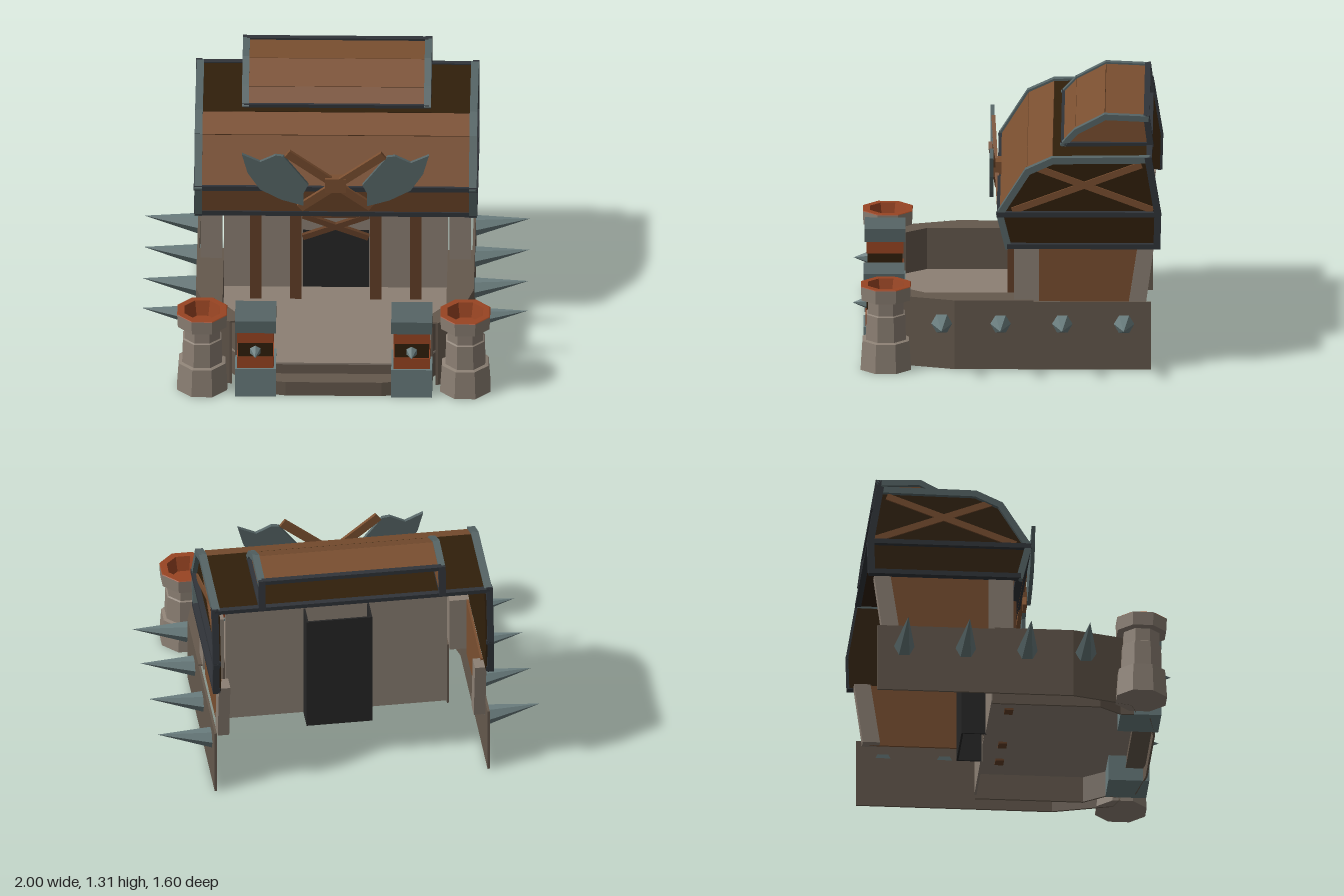
import * as THREE from 'three';

const mat = (name, color) => {
  const m = new THREE.MeshStandardMaterial({ color });
  m.name = name;
  return m;
};

export function createModel() {
  const stone = mat('pale stone', 0x8c8074);
  const baseStone = mat('dark stone', 0x65594d);
  const plank = mat('light wood', 0x7a4f30);
  const beamWood = mat('beam wood', 0x633f27);
  const darkWood = mat('dark wood', 0x301f0b);
  const iron = mat('dark iron', 0x303439);
  const steel = mat('steel', 0x566566);
  const paleSteel = mat('pale steel', 0x6a7d7e);
  const red = mat('red clay', 0x984422);
  const black = mat('black', 0x262626);

  const model = new THREE.Group();
  const UP = new THREE.Vector3(0, 1, 0);

  // Adds a mesh with hard-faceted normals
  const add = (name, geo, material, x = 0, y = 0, z = 0) => {
    const g = geo.index ? geo.toNonIndexed() : geo;
    g.computeVertexNormals();
    const m = new THREE.Mesh(g, material);
    m.name = name;
    m.position.set(x, y, z);
    model.add(m);
    return m;
  };
  // Box given by its minimum and maximum on each axis
  const box = (name, material, [x0, x1], [y0, y1], [z0, z1]) =>
    add(name, new THREE.BoxGeometry(Math.abs(x1 - x0), y1 - y0, z1 - z0), material,
      (x0 + x1) / 2, (y0 + y1) / 2, (z0 + z1) / 2);
  // Square bar running from p to q
  const beam = (name, material, p, q, w, d, extra = 0) => {
    const a = new THREE.Vector3(...p), b = new THREE.Vector3(...q);
    const dir = b.clone().sub(a);
    const m = add(name, new THREE.BoxGeometry(w, dir.length() + extra, d), material);
    m.position.copy(a).add(b).multiplyScalar(0.5);
    m.quaternion.setFromUnitVectors(UP, dir.normalize());
  };
  const extrude = (pts, depth) => new THREE.ExtrudeGeometry(
    new THREE.Shape(pts.map(([u, v]) => new THREE.Vector2(u, v))), { depth, bevelEnabled: false });
  // Plate with a (z, y) outline, centred on x
  const sidePlate = (name, material, pts, x, t) =>
    add(name, extrude(pts, t).rotateY(-Math.PI / 2).translate(t / 2, 0, 0), material, x);
  // Slab with an (x, z) outline, top at the given height
  const slab = (name, material, pts, top, h) =>
    add(name, extrude(pts, h).rotateX(Math.PI / 2), material, 0, top);
  const cone = (name, material, r, p, q, sides) => {
    const a = new THREE.Vector3(...p), dir = new THREE.Vector3(...q).sub(a);
    const h = dir.length();
    const m = add(name, new THREE.ConeGeometry(r, h, sides).translate(0, h / 2, 0), material, ...p);
    m.quaternion.setFromUnitVectors(UP, dir.normalize());
  };

  // Courtyard floor and entrance steps
  slab('courtyardFloor', stone, [[-0.59, -0.13], [0.59, -0.13], [0.59, 0.43], [0.5, 0.55],
    [0.3, 0.65], [-0.3, 0.65], [-0.5, 0.55], [-0.59, 0.43]], 0.15, 0.01);
  box('upperStep', baseStone, [-0.5, 0.5], [0.07, 0.14], [0.625, 0.64]);
  slab('lowerStepTread', baseStone, [[-0.47, 0.62], [0.47, 0.62], [0.47, 0.69], [0.25, 0.73],
    [-0.25, 0.73], [-0.47, 0.69]], 0.08, 0.01);
  slab('lowerStepRiser', baseStone, [[-0.47, 0.68], [-0.25, 0.72], [0.25, 0.72], [0.47, 0.68],
    [0.47, 0.69], [0.25, 0.73], [-0.25, 0.73], [-0.47, 0.69]], 0.07, 0.07);

  // Recessed front wall, dark doorway niche
  for (const s of [-1, 1]) box('frontWall', stone, [s * 0.17, s * 0.58], [0.02, 0.77], [-0.145, -0.133]);
  box('lintel', stone, [-0.17, 0.17], [0.49, 0.77], [-0.145, -0.133]);
  box('doorwayBack', black, [-0.172, 0.172], [0.02, 0.68], [-0.27, -0.26]);
  for (const s of [-1, 1]) {
    box('doorwaySide', black, [s * 0.162, s * 0.172], [0.02, 0.68], [-0.26, -0.14]);
    beam('doorBrace', beamWood, [-0.17, 0.58 - s * 0.065, -0.02], [0.17, 0.58 + s * 0.065, -0.02], 0.03, 0.025);
  }
  box('doorHeader', beamWood, [-0.17, 0.17], [0.635, 0.665], [-0.04, -0.01]);

  // Thin upright wall along an (x, z) path, mirrored by s
  const curtain = (name, s, path, t) => slab(name, baseStone,
    [...path, ...path.map(([x, z]) => [x + t, z]).reverse()].map(([x, z]) => [s * x, z]), 0.365, 0.365);

  for (const s of [-1, 1]) {
    // Outer rampart: outer skin, inner skin and walkway on top
    const outer = [[0.72, 0.27], [0.63, 0.58], [0.54, 0.61]];
    const inner = [[0.5, 0.6], [0.5, 0.53], [0.58, 0.42], [0.58, -0.14]];
    curtain('rampartOuter', s, [[0.72, -0.75], ...outer], -0.012);
    curtain('rampartInner', s, inner, 0.012);
    slab('rampartTop', baseStone, [[0.72, -0.14], ...outer, ...inner].map(([x, z]) => [s * x, z]), 0.372, 0.01);
    for (const z of [0.335, 0.03, -0.29, -0.61])
      cone('wallSpike', paleSteel, 0.055, [s * 0.712, 0.245, z], [s, 0.288, z], 6);

    // House side wall with corner piers
    box('frontPier', stone, [s * 0.59, s * 0.7], [0.36, 0.67], [-0.17, -0.04]);
    box('sideWall', plank, [s * 0.678, s * 0.69], [0.33, 0.67], [-0.7, -0.17]);
    sidePlate('rearPier', stone, [[-0.63, 0.33], [-0.72, 0.33], [-0.765, 0.66], [-0.68, 0.66]], s * 0.67, 0.06);

    // Porch posts
    for (const x of [0.207, 0.415])
      box('porchPost', beamWood, [s * x - 0.03, s * x + 0.03], [0.13, 0.67], [-0.05, -0.005]);

    // Gate pillar
    const px = s * 0.405;
    const block = (name, m, r, y0, y1) => box(name, m, [px - r, px + r], [y0, y1], [0.637 - r, 0.637 + r]);
    block('pillarFoot', paleSteel, 0.106, 0, 0.165);
    block('pillarLowerBand', red, 0.095, 0.165, 0.23);
    block('pillarCore', darkWood, 0.09, 0.23, 0.315);
    block('pillarUpperBand', red, 0.095, 0.315, 0.38);
    block('pillarCap', steel, 0.106, 0.38, 0.45);
    cone('pillarStud', paleSteel, 0.032, [px, 0.265, 0.725], [px, 0.265, 0.8], 6);

    // Octagonal corner tower with a fire bowl
    const lathe = (pts) => new THREE.LatheGeometry(
      pts.map(([r, y]) => new THREE.Vector2(r, y)), 8, Math.PI / 8);
    add('tower', lathe([[0, 0], [0.141, 0], [0.13, 0.155], [0.112, 0.16], [0.108, 0.295],
      [0.1, 0.3], [0.1, 0.37], [0.136, 0.375], [0.14, 0.447]]), stone, s * 0.682, 0, 0.625);
    add('fireBowl', lathe([[0.14, 0.447], [0.136, 0.45], [0.1, 0.45], [0.08, 0.37], [0, 0.37]]),
      red, s * 0.682, 0, 0.625);
  }

  // Roof panels: each entry is a profile segment in (z, y)
  const panels = (name, half, pts, mats) => mats.forEach((m, i) =>
    beam(name, m, [0, pts[i][1], pts[i][0]], [0, pts[i + 1][1], pts[i + 1][0]], 2 * half, 0.012));
  const main = [[-0.01, 0.66], [0.035, 0.84], [-0.11, 1.07], [-0.24, 1.13], [-0.74, 1.135]];
  panels('roofPanel', 0.705, main, [plank, plank, plank, darkWood]);
  const dormer = [[-0.29, 1.14], [-0.36, 1.215], [-0.51, 1.295], [-0.73, 1.285]];
  panels('dormerPanel', 0.465, dormer, [plank, plank, plank]);

  // Chain of trim bars following a (z, y) profile
  const trim = (name, m, x, pts, w, t) => pts.slice(1).forEach((p, i) =>
    beam(name, m, [x, pts[i][1], pts[i][0]], [x, p[1], p[0]], w, t, 0.012));

  for (const s of [-1, 1]) {
    // Gable ends with crossed boards
    sidePlate('gable', darkWood, [...main.slice(1), [-0.79, 0.84]], s * 0.7, 0.014);
    sidePlate('gableSkirt', darkWood, [main[0], main[1], [-0.79, 0.84], [-0.785, 0.66]], s * 0.7, 0.014);
    beam('gableBoard', plank, [s * 0.71, 0.855, -0.03], [s * 0.71, 1.105, -0.7], 0.012, 0.035);
    beam('gableBoard', plank, [s * 0.71, 1.09, -0.15], [s * 0.71, 0.86, -0.76], 0.012, 0.035);
    trim('gableTrim', steel, s * 0.712, main, 0.04, 0.034);
    trim('rearTrim', iron, s * 0.718, [[-0.735, 1.145], [-0.785, 0.84], [-0.78, 0.66]], 0.034, 0.036);
    trim('gableMidTrim', iron, s * 0.715, [[0.03, 0.84], [-0.795, 0.84]], 0.04, 0.026);
    trim('gableLowTrim', iron, s * 0.715, [[-0.01, 0.668], [-0.785, 0.668]], 0.04, 0.026);

    // Dormer ends
    sidePlate('dormerEnd', plank, [...dormer, [-0.75, 1.14]], s * 0.462, 0.014);
    trim('dormerTrim', steel, s * 0.472, dormer, 0.036, 0.03);
    trim('dormerRearTrim', iron, s * 0.472, [[-0.725, 1.295], [-0.745, 1.14]], 0.036, 0.032);
    trim('dormerLowTrim', iron, s * 0.472, [[-0.29, 1.147], [-0.74, 1.147]], 0.036, 0.02);
  }
  // Long horizontal trims
  box('eaveTrim', iron, [-0.73, 0.73], [0.655, 0.681], [-0.03, 0.008]);
  box('frontMidTrim', iron, [-0.735, 0.735], [0.827, 0.853], [0.01, 0.05]);
  box('rearRidgeTrim', iron, [-0.72, 0.72], [1.125, 1.147], [-0.755, -0.725]);
  box('dormerRearRidge', iron, [-0.47, 0.47], [1.28, 1.302], [-0.74, -0.71]);
  box('dormerFrontTrim', iron, [-0.48, 0.48], [1.137, 1.155], [-0.31, -0.28]);

  // Crossed axes on the roof front
  for (const s of [-1, 1]) {
    const dz = s * 0.006;
    beam('axeHandle', plank, [-s * 0.185, 0.735, 0.05 + dz], [s * 0.25, 1.07, 0.08 + dz], 0.045, 0.02);
    add('axeBlade', extrude([[0.485, 1.07], [0.39, 1.025], [0.31, 1.065], [0.27, 1.06], [0.14, 0.89],
      [0.165, 0.84], [0.165, 0.765], [0.28, 0.8], [0.39, 0.86], [0.455, 0.96]]
      .map(([x, y]) => [s * x, y]), 0.02), steel, 0, 0, 0.07);
  }
  box('axeHub', plank, [-0.055, 0.055], [0.84, 0.92], [0.03, 0.085]);

  return model;
}
